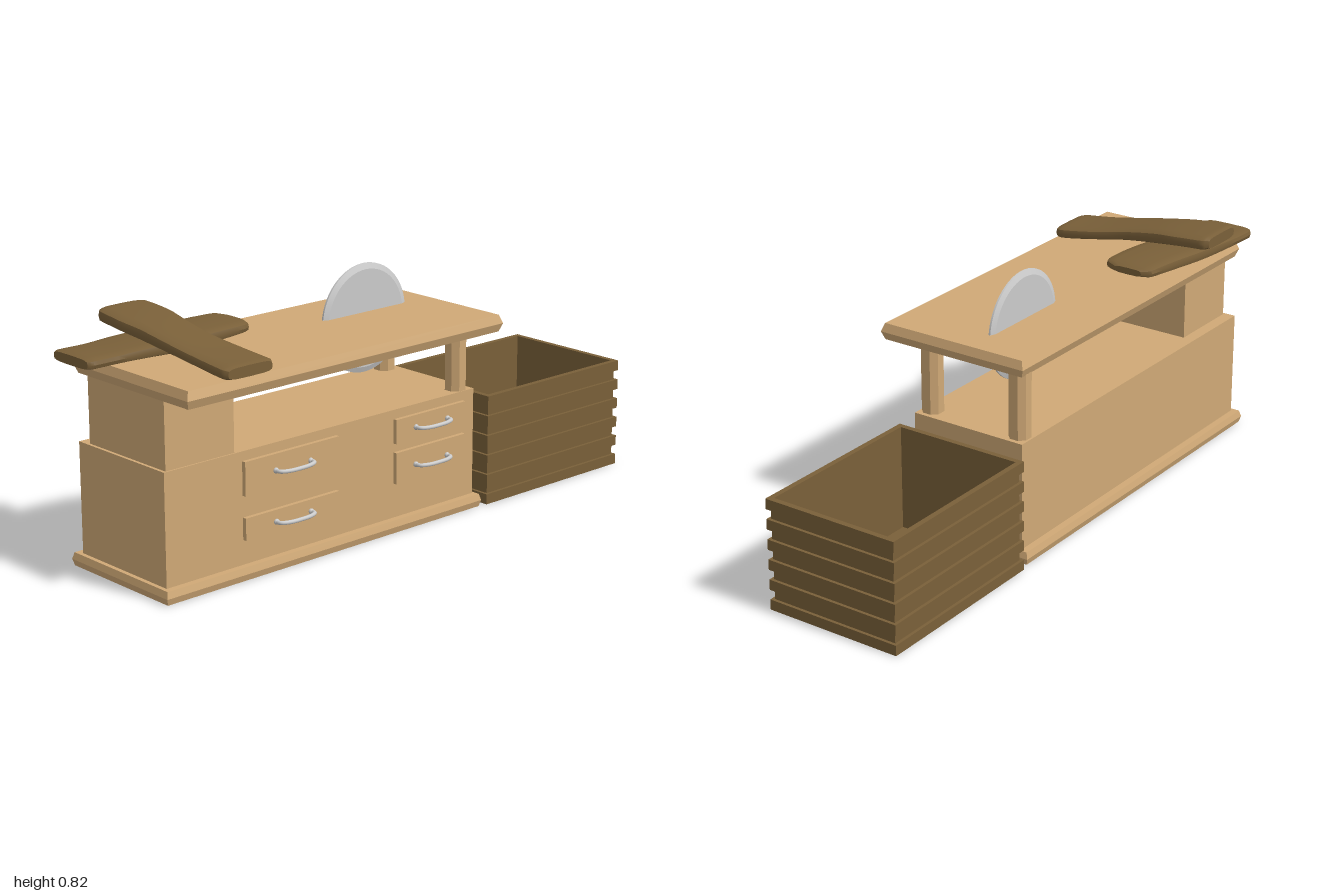
import * as THREE from 'three';
import { toCreasedNormals } from 'three/addons/utils/BufferGeometryUtils.js';

const material = (color, side = THREE.FrontSide) => new THREE.MeshStandardMaterial({ color, side });
const wood = material(0xd0a976);
const darkWood = material(0x7a6039);
const metal = material(0xcccccc);

export function createModel() {
  const model = new THREE.Group();

  const add = (name, geometry, mat, parent = model) => {
    const mesh = new THREE.Mesh(geometry, mat);
    mesh.name = name;
    parent.add(mesh);
    return mesh;
  };

  // Box given by its limits on each axis
  const box = (name, [x0, x1], [y0, y1], [z0, z1], mat, parent) => {
    const mesh = add(name, new THREE.BoxGeometry(x1 - x0, y1 - y0, z1 - z0), mat, parent);
    mesh.position.set((x0 + x1) / 2, (y0 + y1) / 2, (z0 + z1) / 2);
    return mesh;
  };

  // Board whose edges come to a ridge at half height
  const ridgedBoard = (name, [x0, x1], [y0, y1], [z0, z1], inset) => {
    const w = x1 - x0, d = z1 - z0;
    const geo = new THREE.BoxGeometry(w, y1 - y0, d, 1, 2, 1).toNonIndexed();
    const p = geo.attributes.position;
    for (let i = 0; i < p.count; i++) {
      if (Math.abs(p.getY(i)) < 1e-6) continue;
      p.setX(i, p.getX(i) * (1 - 2 * inset / w));
      p.setZ(i, p.getZ(i) * (1 - 2 * inset / d));
    }
    geo.computeVertexNormals();
    add(name, geo, wood).position.set((x0 + x1) / 2, (y0 + y1) / 2, (z0 + z1) / 2);
  };

  // Bench carcass and table top
  ridgedBoard('plinth', [-0.267, 0.195], [0, 0.042], [-0.345, 0.945], 0.006);
  box('cabinet', [-0.237, 0.167], [0.04, 0.395], [-0.33, 0.925], wood);
  box('frontSupport', [-0.197, 0.162], [0.395, 0.612], [0.66, 0.915], wood);
  ridgedBoard('tableTop', [-0.238, 0.295], [0.608, 0.662], [-0.328, 0.935], 0.01);

  // Rear posts with chamfered corners
  const h = 0.0325, c = 0.018;
  const postShape = new THREE.Shape([
    [h, h - c], [h - c, h], [c - h, h], [-h, h - c],
    [-h, c - h], [c - h, -h], [h - c, -h], [h, c - h],
  ].map(([x, y]) => new THREE.Vector2(x, y)));
  const postGeo = new THREE.ExtrudeGeometry(postShape, { depth: 0.215, bevelEnabled: false });
  postGeo.rotateX(-Math.PI / 2);
  for (const x of [-0.197, 0.132]) add('rearPost', postGeo, wood).position.set(x, 0.395, -0.283);

  // Drawers with bowed pulls on the +x side
  const pullCurve = new THREE.CatmullRomCurve3([
    [0.0, -0.07], [0.022, -0.067], [0.035, -0.04], [0.038, 0],
    [0.035, 0.04], [0.022, 0.067], [0.0, 0.07],
  ].map(([x, z]) => new THREE.Vector3(x, 0, z)));
  const pullGeo = new THREE.TubeGeometry(pullCurve, 32, 0.0065, 10);
  const footGeo = new THREE.SphereGeometry(0.009, 12, 8);
  const drawers = [
    [[0.263, 0.635], [0.258, 0.365], 0.314],
    [[0.263, 0.635], [0.12, 0.19], 0.153],
    [[-0.28, 0.022], [0.286, 0.365], 0.326],
    [[-0.28, 0.022], [0.155, 0.257], 0.204],
  ];
  for (const [z, y, pullY] of drawers) {
    const drawer = new THREE.Group();
    drawer.name = 'drawer';
    model.add(drawer);
    box('drawerFront', [0.16, 0.181], y, z, wood, drawer);
    const pull = new THREE.Group();
    pull.name = 'drawerPull';
    pull.position.set(0.179, pullY, (z[0] + z[1]) / 2);
    drawer.add(pull);
    add('pullBar', pullGeo, metal, pull);
    for (const s of [-1, 1]) add('pullFoot', footGeo, metal, pull).position.set(0.004, 0, s * 0.069);
  }

  // Circular saw blade with a sharpened rim
  const bladeProfile = [[0, -0.01], [0.158, -0.01], [0.176, -0.003], [0.176, 0.003], [0.158, 0.01], [0, 0.01]];
  const bladeGeo = toCreasedNormals(
    new THREE.LatheGeometry(bladeProfile.map(([r, y]) => new THREE.Vector2(r, y)), 64), 0.3);
  bladeGeo.rotateZ(Math.PI / 2);
  add('sawBlade', bladeGeo, metal).position.set(-0.035, 0.641, -0.04);

  // Slatted crate: recessed liner with projecting rings
  const crate = new THREE.Group();
  crate.name = 'crate';
  model.add(crate);
  const frame = (name, outset, y0, y1) => {
    const rect = (Type, w, d) => new Type([[-w, -d], [w, -d], [w, d], [-w, d]]
      .map(([x, y]) => new THREE.Vector2(x, y)));
    const shape = rect(THREE.Shape, 0.224 + outset, 0.305 + outset);
    shape.holes.push(rect(THREE.Path, 0.216, 0.297));
    const geo = new THREE.ExtrudeGeometry(shape, { depth: y1 - y0, bevelEnabled: false });
    geo.rotateX(-Math.PI / 2);
    add(name, geo, darkWood, crate).position.set(-0.0385, y0, -0.685);
  };
  frame('crateLiner', 0, 0.002, 0.363);
  for (let i = 0; i < 6; i++) frame('crateSlat', 0.01, i * 0.0662, i * 0.0662 + 0.034);
  box('crateFloor', [-0.2705, 0.1935], [0, 0.02], [-0.998, -0.372], darkWood, crate);

  // Rough timber: stations of [along, side centre, height centre, width, thickness]
  const timber = (name, stations) => {
    const curves = [1, 2].map((k) => new THREE.CatmullRomCurve3(stations.map((s) => k === 1
      ? new THREE.Vector3(s[0], s[2], s[1]) : new THREE.Vector3(s[3], s[4], 0))));
    const rows = 24;
    const geo = new THREE.CylinderGeometry(1, 1, 1, 16, rows);
    geo.rotateZ(-Math.PI / 2);
    const p = geo.attributes.position;
    const square = (v) => Math.sign(v) * Math.sqrt(Math.abs(v));
    for (let i = 0; i < p.count; i++) {
      const t = THREE.MathUtils.clamp(p.getX(i) + 0.5, 0, 1);
      const mid = curves[0].getPoint(t), size = curves[1].getPoint(t);
      p.setXYZ(i, mid.x,
        mid.y + square(p.getY(i)) * size.y / 2,
        mid.z + square(p.getZ(i)) * size.x / 2);
    }
    return add(name, toCreasedNormals(geo, 0.6), darkWood);
  };
  timber('upperTimber', [
    [-0.295, 0.715, 0.752, 0.16, 0.036],
    [-0.275, 0.715, 0.75, 0.19, 0.046],
    [-0.18, 0.718, 0.743, 0.197, 0.046],
    [-0.08, 0.72, 0.73, 0.175, 0.048],
    [0.04, 0.718, 0.712, 0.168, 0.042],
    [0.16, 0.705, 0.693, 0.178, 0.04],
    [0.265, 0.698, 0.68, 0.185, 0.042],
    [0.287, 0.698, 0.679, 0.165, 0.034],
  ]);
  const lower = timber('lowerTimber', [
    [0.41, 0.13, 0.695, 0.1, 0.022],
    [0.435, 0.122, 0.695, 0.18, 0.034],
    [0.55, 0.125, 0.69, 0.195, 0.044],
    [0.68, 0.135, 0.682, 0.2, 0.046],
    [0.8, 0.15, 0.678, 0.19, 0.042],
    [0.9, 0.158, 0.674, 0.182, 0.036],
    [0.98, 0.16, 0.674, 0.185, 0.036],
    [1.0, 0.16, 0.674, 0.165, 0.03],
  ]);
  lower.rotation.y = -Math.PI / 2;

  return model;
}
